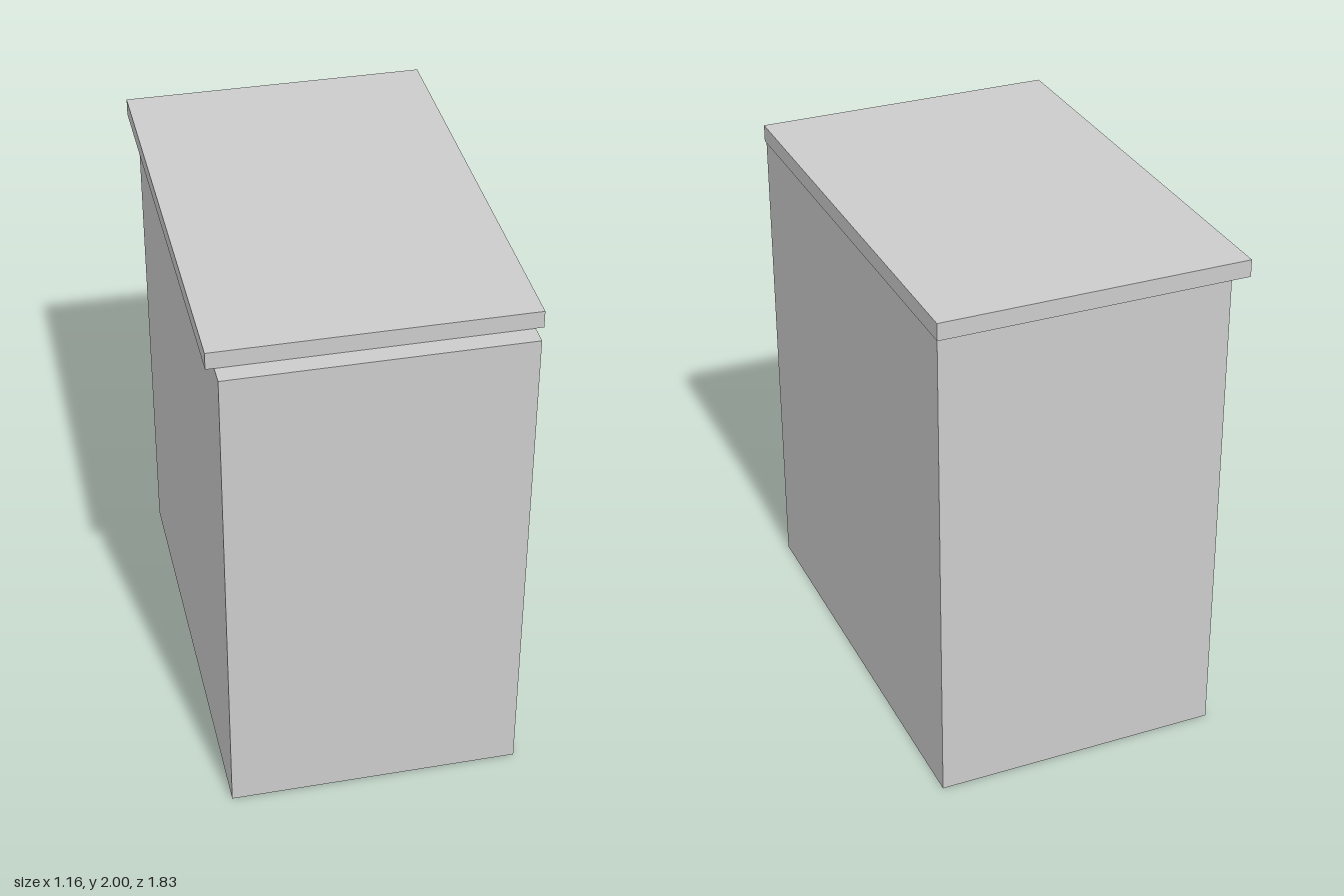
import * as THREE from 'three';

const material = new THREE.MeshStandardMaterial({ color: 0xcccccc });

// Box given by its lower and upper corners
function block(name, min, max) {
  const [w, h, d] = max.map((v, i) => v - min[i]);
  const mesh = new THREE.Mesh(new THREE.BoxGeometry(w, h, d), material);
  mesh.position.set(...max.map((v, i) => (v + min[i]) / 2));
  mesh.name = name;
  return mesh;
}

export function createModel() {
  const model = new THREE.Group();
  model.name = 'cabinet';

  // Tall closed body
  model.add(block('body', [-0.55, 0, -0.84], [0.55, 1.935, 0.915]));

  // Top slab, wider than the body and shifted towards the back
  model.add(block('topSlab', [-0.58, 1.935, -0.915], [0.58, 2, 0.84]));

  return model;
}
